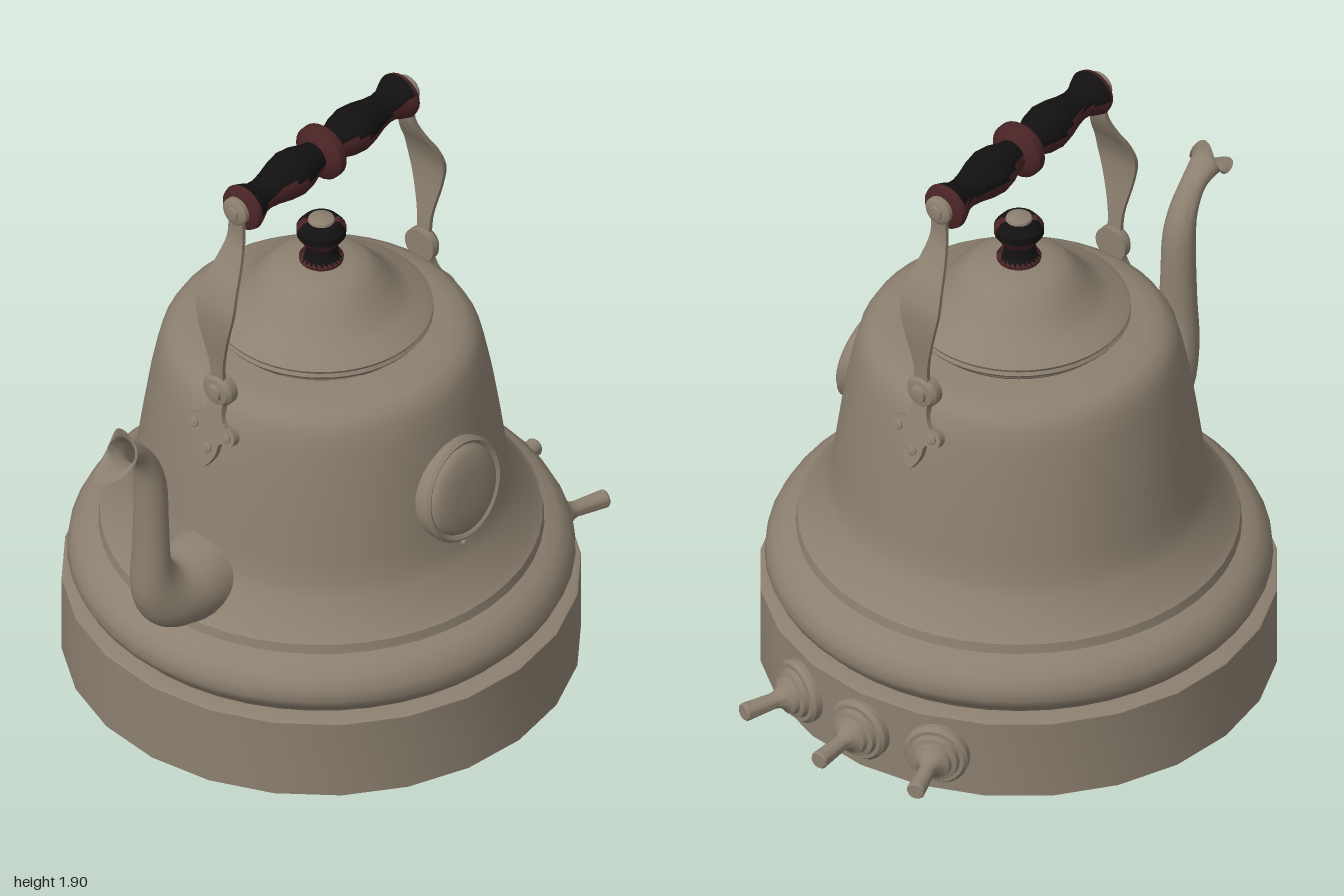
import * as THREE from 'three';
import { toCreasedNormals } from 'three/addons/utils/BufferGeometryUtils.js';

const CX = 0.025; // axis of the pot

const metal = new THREE.MeshStandardMaterial({ color: 0x8c8070, side: THREE.DoubleSide });
metal.name = 'warm grey metal';
const red = new THREE.MeshStandardMaterial({ color: 0x4a2425 });
red.name = 'dark red wood';
const black = new THREE.MeshStandardMaterial({ color: 0x131111 });
black.name = 'black lacquer';

function add(parent, name, geometry, material = metal) {
  const mesh = new THREE.Mesh(geometry, material);
  mesh.name = name;
  parent.add(mesh);
  return mesh;
}

// Turned shape from [radius, height] pairs, listed from bottom to top
function turned(profile, segments = 48, crease = 0.6) {
  const points = profile.map(([r, y]) => new THREE.Vector2(r, y));
  return toCreasedNormals(new THREE.LatheGeometry(points, segments), crease);
}

// Skin over a list of closed rings of points
function loft(rings, crease, capped) {
  const n = rings[0].length;
  const index = [];
  for (let i = 0; i < rings.length - 1; i++) {
    for (let j = 0; j < n; j++) {
      const a = i * n + j, b = i * n + (j + 1) % n;
      index.push(a, b, a + n, b, b + n, a + n);
    }
  }
  if (capped) {
    const last = (rings.length - 1) * n;
    for (let j = 1; j < n - 1; j++) index.push(0, j + 1, j, last, last + j, last + j + 1);
  }
  const geometry = new THREE.BufferGeometry().setFromPoints(rings.flat());
  geometry.setIndex(index);
  return toCreasedNormals(geometry, crease);
}

// Two-tone lacquer: faces passing the test are black, the others red
function twoTone(geometry, isBlack) {
  const p = geometry.attributes.position;
  const t = new THREE.Triangle(), mid = new THREE.Vector3(), normal = new THREE.Vector3();
  geometry.clearGroups();
  for (let i = 0; i < p.count; i += 3) {
    t.setFromAttributeAndIndices(p, i, i + 1, i + 2);
    t.getMidpoint(mid);
    t.getNormal(normal);
    geometry.addGroup(i, 3, isBlack(mid, normal) ? 0 : 1);
  }
  return geometry;
}

function makeSpout() {
  // [lower x, lower y, upper x, upper y, half width]
  const stations = [
    [-0.45, 0.42, -0.45, 0.71, 0.14], [-0.60, 0.445, -0.56, 0.70, 0.13],
    [-0.73, 0.49, -0.65, 0.69, 0.10], [-0.80, 0.61, -0.69, 0.74, 0.07],
    [-0.80, 0.80, -0.70, 0.88, 0.058], [-0.798, 1.02, -0.708, 1.04, 0.052],
    [-0.81, 1.11, -0.74, 1.13, 0.045], [-0.85, 1.17, -0.80, 1.21, 0.04],
    [-0.91, 1.188, -0.865, 1.265, 0.05], [-1.0, 1.176, -0.88, 1.31, 0.056],
  ];
  const lower = new THREE.CatmullRomCurve3(stations.map(s => new THREE.Vector3(s[0], s[1], s[4])));
  const upper = new THREE.CatmullRomCurve3(stations.map(s => new THREE.Vector3(s[2], s[3], 0)));
  const rings = [];
  const steps = 36, sides = 24;
  for (let i = 0; i <= steps; i++) {
    const a = lower.getPoint(i / steps), b = upper.getPoint(i / steps);
    // The sides of the mouth are cut back between the two lips
    const cut = 0.055 * Math.max(0, (i / steps - 0.88) / 0.12);
    const ring = [];
    for (let j = 0; j < sides; j++) {
      const angle = j / sides * Math.PI * 2;
      const k = (1 + Math.cos(angle)) / 2, s = Math.sin(angle);
      ring.push(new THREE.Vector3(
        b.x + (a.x - b.x) * k + cut * s * s,
        b.y + (a.y - b.y) * k - cut * 0.6 * s * s,
        a.z * s));
    }
    rings.push(ring);
  }
  return loft(rings, 0.9, false);
}

function makeStrap() {
  // x, y, half width
  const curve = new THREE.CatmullRomCurve3([
    [0.465, 1.19, 0.025], [0.472, 1.30, 0.026], [0.485, 1.43, 0.055], [0.48, 1.51, 0.07],
    [0.455, 1.58, 0.062], [0.415, 1.65, 0.045], [0.387, 1.72, 0.03], [0.385, 1.82, 0.026],
  ].map(p => new THREE.Vector3(...p)));
  const rings = [];
  for (let i = 0; i <= 28; i++) {
    const p = curve.getPoint(i / 28), d = curve.getTangent(i / 28);
    d.z = 0;
    d.normalize().multiplyScalar(0.007);
    rings.push([[1, 1], [1, -1], [-1, -1], [-1, 1]].map(([s, w]) =>
      new THREE.Vector3(p.x + d.y * s, p.y - d.x * s, p.z * w)));
  }
  return loft(rings, 0.6, true);
}

function makeBracketShape() {
  const s = new THREE.Shape();
  s.moveTo(0.028, 0.13);
  s.quadraticCurveTo(0.022, 0.05, 0.048, 0.03);
  s.absarc(0.062, 0, 0.03, 2, -2, true);
  s.quadraticCurveTo(0.035, -0.03, 0.035, -0.06);
  s.quadraticCurveTo(0.03, -0.09, 0, -0.125);
  s.quadraticCurveTo(-0.03, -0.09, -0.035, -0.06);
  s.quadraticCurveTo(-0.035, -0.03, -0.05, -0.027);
  s.absarc(-0.062, 0, 0.03, Math.PI + 2, Math.PI - 2, true);
  s.quadraticCurveTo(-0.022, 0.05, -0.028, 0.13);
  return s;
}

// Strap, pivot and riveted bracket for one side of the handle
function makeSide() {
  const side = new THREE.Group();
  add(side, 'handleStrap', makeStrap());
  const disc = [[0, 0], [1, 0], [1, 0.5], [0.8, 0.75], [0.5, 0.8], [0.45, 1], [0, 1.1]];
  const stud = (parent, name, r, h, x, y, z = 0) => {
    const mesh = add(parent, name, turned(disc.map(([a, b]) => [a * r, b * h]), 20));
    mesh.rotation.z = -Math.PI / 2;
    mesh.position.set(x, y, z);
  };
  stud(side, 'pivot', 0.055, 0.055, 0.443, 1.2);
  stud(side, 'handleEndStud', 0.045, 0.03, 0.38, 1.82);

  const bracket = new THREE.Group();
  bracket.name = 'bracket';
  const plate = new THREE.ExtrudeGeometry(makeBracketShape(), { depth: 0.025, bevelEnabled: false, curveSegments: 8 });
  add(bracket, 'bracketPlate', plate.rotateY(Math.PI / 2));
  [[0, 0.062], [0, -0.062], [-0.06, 0]].forEach(([y, z]) => stud(bracket, 'rivet', 0.016, 0.012, 0.024, y, z));
  bracket.position.set(0.48, 1.065, 0);
  bracket.rotation.z = 0.24;
  side.add(bracket);
  return side;
}

export function createModel() {
  const model = new THREE.Group();
  model.name = 'kettle';
  const pot = new THREE.Group();
  pot.name = 'pot';
  pot.position.x = CX;
  model.add(pot);

  // Body and lid
  add(pot, 'base', turned([[0, 0], [0.77, 0], [0.77, 0.263], [0.76, 0.268], [0.68, 0.268]], 24));
  add(pot, 'body', turned([
    [0.70, 0.26], [0.715, 0.285], [0.738, 0.305], [0.752, 0.335], [0.748, 0.37], [0.73, 0.405],
    [0.70, 0.43], [0.66, 0.445], [0.655, 0.475], [0.638, 0.49], [0.605, 0.54], [0.575, 0.585], [0.558, 0.63],
    [0.548, 0.70], [0.53, 0.83], [0.51, 0.96], [0.49, 1.06], [0.475, 1.12], [0.455, 1.155],
    [0.425, 1.175], [0.38, 1.183], [0.30, 1.19]]));
  add(pot, 'lid', turned([
    [0.29, 1.185], [0.295, 1.21], [0.325, 1.215], [0.332, 1.225], [0.326, 1.235], [0.331, 1.245],
    [0.315, 1.256], [0.27, 1.275], [0.235, 1.30], [0.20, 1.34], [0.165, 1.38], [0.14, 1.40],
    [0.10, 1.412], [0.05, 1.418], [0, 1.42]]));

  // Lid knob
  const knob = turned([
    [0.065, 1.41], [0.067, 1.425], [0.056, 1.435], [0.05, 1.46], [0.048, 1.475], [0.06, 1.49],
    [0.074, 1.51], [0.074, 1.535], [0.055, 1.558], [0, 1.56]], 24);
  add(pot, 'lidKnob', twoTone(knob, (c, n) => c.y > 1.43 && n.y > -0.15 && Math.sin(Math.atan2(c.z, c.x) * 2) < 0.92), [black, red]);
  add(pot, 'knobCap', turned([[0.043, 1.55], [0.038, 1.566], [0.02, 1.574], [0, 1.575]], 24));

  // Turned grip
  const half = [
    [0.088, 0.012], [0.075, 0.026], [0.05, 0.036], [0.054, 0.06], [0.068, 0.10], [0.074, 0.14], [0.068, 0.18],
    [0.055, 0.23], [0.049, 0.27], [0.052, 0.30], [0.066, 0.33], [0.074, 0.352], [0.07, 0.366], [0.05, 0.374], [0, 0.376]];
  const grip = turned([...half.map(([r, y]) => [r, -y]).reverse(), ...half], 28);
  grip.rotateZ(-Math.PI / 2);
  const gripTone = (c, n) => Math.abs(c.x) > 0.034 && Math.abs(c.x) < 0.345 &&
    n.y > 0.15 + 0.25 * Math.sin(c.x * 22);
  add(pot, 'grip', twoTone(grip, gripTone), [black, red]).position.y = 1.815;

  // Handle mounts on both sides
  for (const [name, turn] of [['leftHandleMount', 0], ['rightHandleMount', Math.PI]]) {
    const side = makeSide();
    side.name = name;
    side.rotation.y = turn;
    pot.add(side);
  }

  add(model, 'spout', makeSpout());

  // Domed medallion on the front
  const medallion = add(pot, 'medallion', turned([
    [0.155, -0.06], [0.165, 0], [0.165, 0.012], [0.155, 0.022], [0.145, 0.016], [0.143, 0.01],
    [0.138, 0.022], [0.12, 0.034], [0.06, 0.04], [0, 0.041]]));
  medallion.rotation.x = Math.PI / 2 - 0.15;
  medallion.position.set(-0.002, 0.828, 0.54);
  add(pot, 'medallionPin', new THREE.SphereGeometry(0.01, 12, 8)).position.set(-0.005, 0.637, 0.557);

  // Row of control taps around the base
  const tap = turned([
    [0.1, -0.04], [0.1, 0.012], [0.09, 0.024], [0.078, 0.024], [0.074, 0.04], [0.06, 0.044], [0.056, 0.058],
    [0.04, 0.066], [0.028, 0.085], [0.024, 0.10], [0.028, 0.20], [0.024, 0.206], [0, 0.206]], 24);
  tap.rotateZ(-Math.PI / 2);
  for (const [name, angle] of [['frontTap', -0.335], ['middleTap', 0], ['backTap', 0.335]]) {
    const mesh = add(pot, name, tap);
    mesh.position.set(0.769 * Math.cos(angle), 0.135, -0.769 * Math.sin(angle));
    mesh.rotation.y = angle;
  }
  return model;
}
